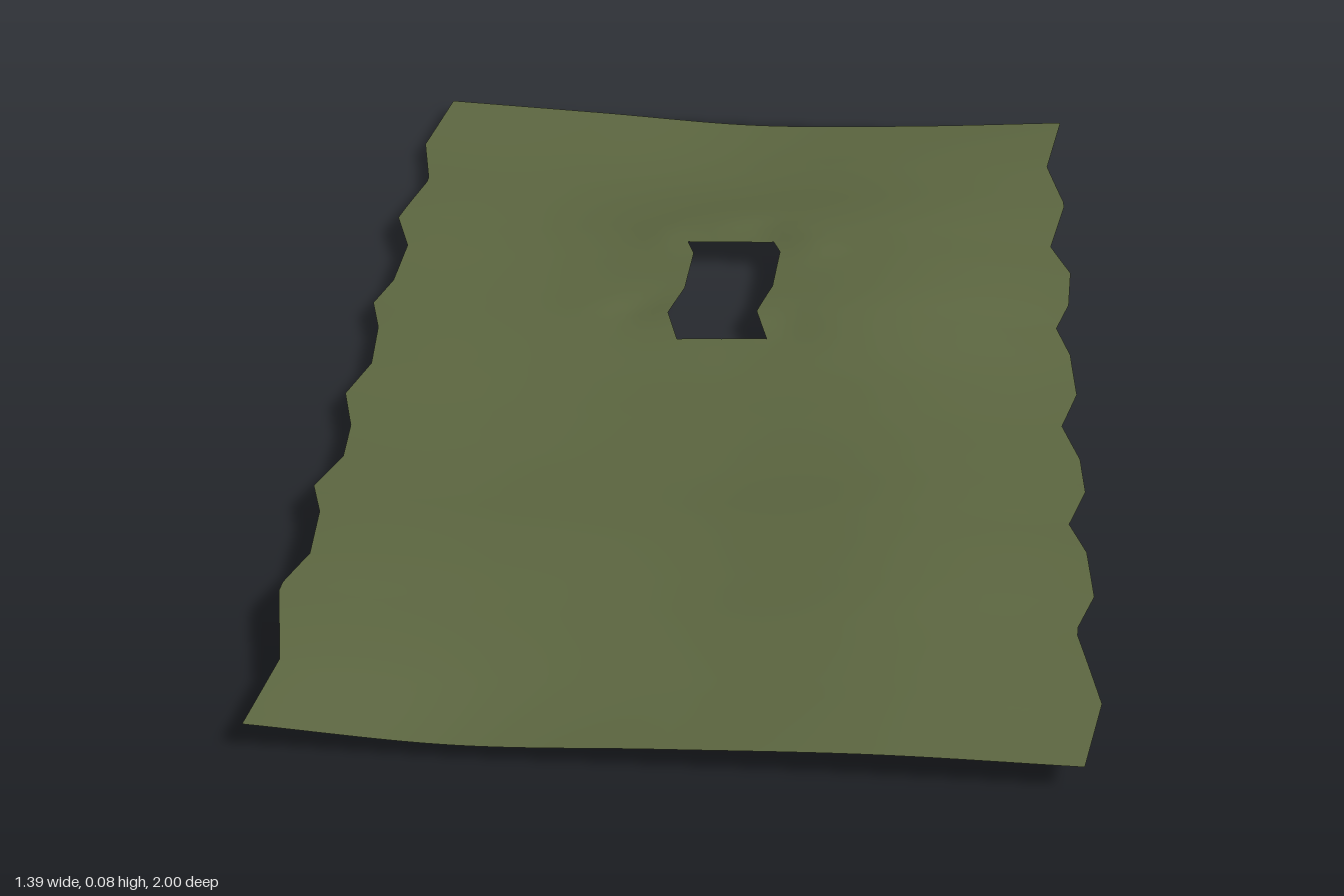
import * as THREE from 'three';

const HALF_WIDTH = 0.678;
const HOLE = { x: 0.088, back: -0.44, front: -0.12 };

// Sideways drift of the cloth: [z, shift in x]
const DRIFT = [
  [-1, 0.018], [-0.82, -0.017], [-0.67, 0.015], [-0.5, -0.021], [-0.4, 0.015], [-0.28, 0.006],
  [-0.2, -0.021], [-0.12, 0.003], [0, 0.011], [0.1, -0.021], [0.2, 0.008], [0.3, 0.013],
  [0.4, -0.021], [0.48, 0.006], [0.6, 0.013], [0.69, -0.022], [0.86, 0.013], [1, -0.021],
];

// Fold heights, from the back edge to the front edge, right to left across
const FOLDS = [
  [0.045, 0.028, 0.010, 0.022, 0.045],
  [0.042, 0.026, 0.022, 0.043, 0.042],
  [0.060, 0.045, 0.068, 0.078, 0.050],
  [0.055, 0.050, 0.070, 0.092, 0.060],
  [0.055, 0.042, 0.050, 0.065, 0.050],
  [0.062, 0.045, 0.050, 0.070, 0.055],
  [0.085, 0.068, 0.065, 0.088, 0.070],
  [0.092, 0.070, 0.068, 0.085, 0.075],
  [0.070, 0.046, 0.060, 0.072, 0.068],
];

// Small puckers around the opening: [x, z, height, radius]
const PUCKERS = [
  [-0.16, -0.21, -0.008, 0.05], [-0.13, -0.46, 0.006, 0.05], [0.08, -0.49, -0.007, 0.05],
  [0.14, -0.16, -0.006, 0.05], [0.16, -0.42, 0.006, 0.05],
];

function drift(z) {
  let i = 0;
  while (i < DRIFT.length - 2 && z > DRIFT[i + 1][0]) i++;
  const [z0, s0] = DRIFT[i], [z1, s1] = DRIFT[i + 1];
  return THREE.MathUtils.lerp(s0, s1, (z - z0) / (z1 - z0));
}

// Smooth curve through evenly spaced values, t in 0..1
function smooth(values, t) {
  const n = values.length - 1;
  const i = Math.min(Math.floor(t * n), n - 1), f = t * n - i;
  const b = values[i], c = values[i + 1];
  const a = i > 0 ? values[i - 1] : 2 * b - c;
  const d = i < n - 1 ? values[i + 2] : 2 * c - b;
  return b + 0.5 * f * (c - a + f * (2 * a - 5 * b + 4 * c - d + f * (3 * (b - c) + d - a)));
}

function height(u, z) {
  const across = (u + HALF_WIDTH) / (2 * HALF_WIDTH);
  let y = smooth(FOLDS.map((row) => smooth(row, across)), (z + 1) / 2);
  for (const [px, pz, h, r] of PUCKERS) {
    y += h * Math.exp(-((u - px) ** 2 + (z - pz) ** 2) / (r * r));
  }
  return y;
}

function clothGeometry() {
  // Columns line up with the sides of the opening
  const columns = [];
  const span = (from, to, n) => {
    for (let i = 0; i < n; i++) columns.push(from + ((to - from) * i) / n);
  };
  span(-HALF_WIDTH, -HOLE.x, 20);
  span(-HOLE.x, HOLE.x, 6);
  span(HOLE.x, HALF_WIDTH, 20);
  columns.push(HALF_WIDTH);

  const rows = 100, w = columns.length;
  const positions = [], indices = [];
  for (let j = 0; j <= rows; j++) {
    const z = -1 + (2 * j) / rows;
    for (const u of columns) positions.push(u + drift(z), height(u, z), z);
  }
  for (let j = 0; j < rows; j++) {
    const zMid = -1 + (2 * j + 1) / rows;
    for (let i = 0; i < w - 1; i++) {
      const uMid = (columns[i] + columns[i + 1]) / 2;
      // Leave out the opening
      if (Math.abs(uMid) < HOLE.x && zMid > HOLE.back && zMid < HOLE.front) continue;
      const a = j * w + i, b = a + 1, c = a + w, d = c + 1;
      indices.push(a, c, b, b, c, d);
    }
  }
  const geometry = new THREE.BufferGeometry();
  geometry.setAttribute('position', new THREE.Float32BufferAttribute(positions, 3));
  geometry.setIndex(indices);
  geometry.computeVertexNormals();
  geometry.computeBoundingBox();
  geometry.translate(0, -geometry.boundingBox.min.y, 0);
  return geometry;
}

export function createModel() {
  const group = new THREE.Group();
  group.name = 'poncho';
  const olive = new THREE.MeshStandardMaterial({ color: 0x5c6640, side: THREE.DoubleSide });
  olive.name = 'olive cloth';
  const cloth = new THREE.Mesh(clothGeometry(), olive);
  cloth.name = 'clothSheet';
  group.add(cloth);
  return group;
}
